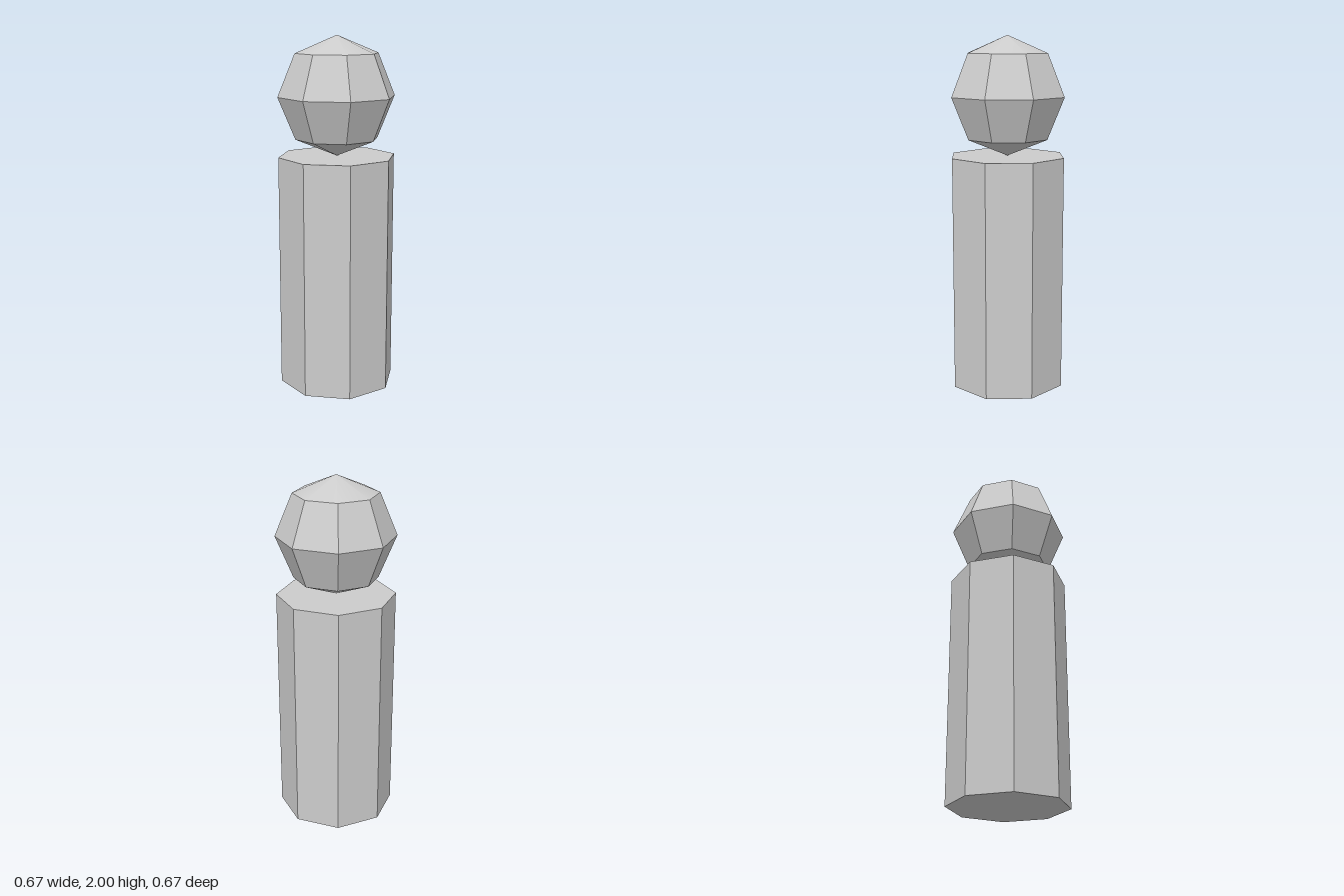
import * as THREE from 'three';
import { toCreasedNormals } from 'three/addons/utils/BufferGeometryUtils.js';

export function createModel() {
  const model = new THREE.Group();
  const grey = new THREE.MeshStandardMaterial({ color: 0xcccccc });
  grey.name = 'light grey';

  const radius = 1 / 3;
  const sides = 8;
  const bodyHeight = 4 * radius;

  const addPart = (name, geometry, y) => {
    // shallow cap facets blend smoothly, all steeper edges stay sharp
    const mesh = new THREE.Mesh(toCreasedNormals(geometry, Math.PI / 6), grey);
    mesh.name = name;
    mesh.position.y = y;
    model.add(mesh);
  };

  // octagonal column
  addPart('body', new THREE.CylinderGeometry(radius, radius, bodyHeight, sides), bodyHeight / 2);
  // faceted ball resting on the column
  addPart('head', new THREE.SphereGeometry(radius, sides, 4), bodyHeight + radius);

  return model;
}
